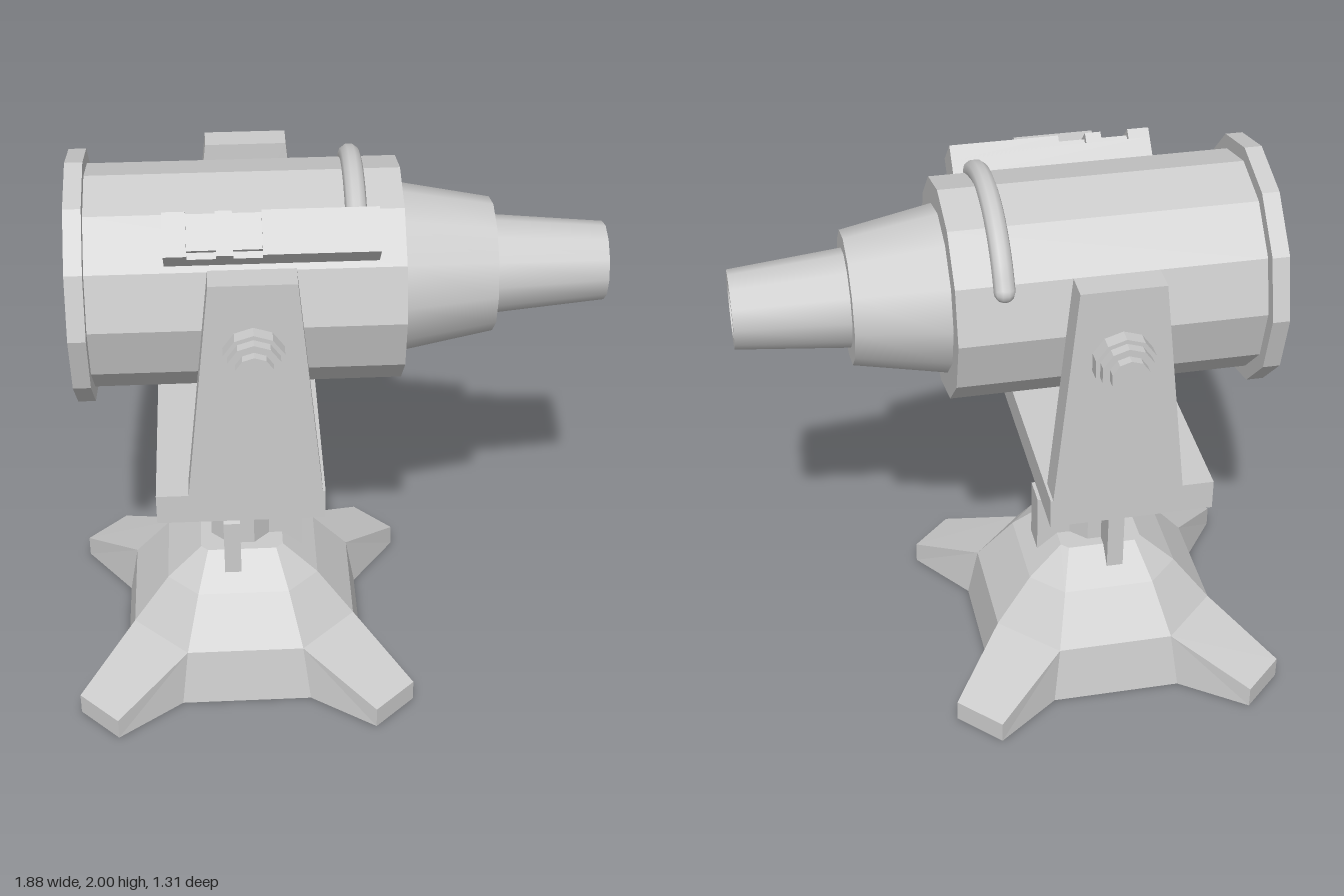
import * as THREE from 'three';

const AXIS_Y = 1.57;   // height of the barrel axis
const BASE_X = -0.335; // stand centre

const flat = new THREE.MeshStandardMaterial({ color: 0xcccccc, flatShading: true });
const smooth = new THREE.MeshStandardMaterial({ color: 0xcccccc });
const thin = new THREE.MeshStandardMaterial({ color: 0xcccccc, flatShading: true, side: THREE.DoubleSide });

function add(parent, name, geometry, material = flat) {
  const mesh = new THREE.Mesh(geometry, material);
  mesh.name = name;
  parent.add(mesh);
  return mesh;
}

function box(parent, name, x0, x1, y0, y1, z0, z1) {
  const mesh = add(parent, name, new THREE.BoxGeometry(x1 - x0, y1 - y0, z1 - z0));
  mesh.position.set((x0 + x1) / 2, (y0 + y1) / 2, (z0 + z1) / 2);
  return mesh;
}

// Round part lying along x on the barrel axis
function barrelPart(parent, name, x0, x1, r0, r1, material, open = false) {
  const g = new THREE.CylinderGeometry(r1, r0, x1 - x0, 12, 1, open);
  g.rotateZ(-Math.PI / 2).translate((x0 + x1) / 2, AXIS_Y, 0);
  return add(parent, name, g, material);
}

// Splayed stand: octagonal dome whose diagonal sides run out into four feet
function standGeometry() {
  const rings = [[0.48, 0.15, 0.125], [0.375, 0.275, 0.165], [0.21, 0.405, 0.21], [0, 0.44, 0.235]];
  const pos = [];
  const quad = (a, b, c, d) => [a, b, c, a, c, d].forEach(p => pos.push(...p));
  for (let q = 0; q < 4; q++) {
    const turn = ([x, y, z]) => {
      const a = q * Math.PI / 2, c = Math.cos(a), s = Math.sin(a);
      return [x * c + z * s, y, z * c - x * s];
    };
    const L = rings.map(([y, f, h]) => turn([-h, y, f])); // left corner of front panel
    const R = rings.map(([y, f, h]) => turn([h, y, f]));  // right corner of front panel
    const N = rings.map(([y, f, h]) => turn([f, y, h]));  // start of next panel
    for (let i = 0; i < 3; i++) {
      quad(L[i], L[i + 1], R[i + 1], R[i]);
      if (i < 2) quad(R[i], R[i + 1], N[i + 1], N[i]);
    }
    // Foot
    const [a, b, c, d] = [[0.465, 0.08, 0.605], [0.61, 0.08, 0.465], [0.465, 0, 0.605], [0.61, 0, 0.465]].map(turn);
    quad(R[2], a, b, N[2]);
    quad(a, c, d, b);
    quad(R[2], R[3], c, a);
    quad(N[2], b, d, N[3]);
  }
  // Flat top
  const top = rings[0];
  const ring = [];
  for (let q = 0; q < 4; q++) {
    const a = q * Math.PI / 2, c = Math.cos(a), s = Math.sin(a);
    for (const h of [-top[2], top[2]]) ring.push([h * c + top[1] * s, top[0], top[1] * c - h * s]);
  }
  ring.forEach((p, i) => pos.push(0, top[0], 0, ...p, ...ring[(i + 1) % 8]));
  const g = new THREE.BufferGeometry();
  g.setAttribute('position', new THREE.Float32BufferAttribute(pos, 3));
  g.computeVertexNormals();
  return g;
}

export function createModel() {
  const model = new THREE.Group();
  model.name = 'mountedCannon';

  // Stand, column and turntable
  const stand = new THREE.Group();
  stand.name = 'stand';
  stand.position.x = BASE_X;
  model.add(stand);
  add(stand, 'splayedBase', standGeometry(), thin);
  const column = add(stand, 'column', new THREE.CylinderGeometry(0.12, 0.12, 0.43, 8).rotateY(Math.PI / 8));
  column.position.y = 0.635;
  add(stand, 'turntable', new THREE.CylinderGeometry(0.22, 0.22, 0.08, 24), smooth).position.y = 0.87;

  // Column fins: a square one ahead, sloped ones on both sides
  box(stand, 'frontFin', 0.08, 0.225, 0.415, 0.645, -0.055, 0.055);
  const finShape = new THREE.Shape([[0.05, 0.42], [0.215, 0.42], [0.215, 0.645], [0.12, 0.83], [0.05, 0.83]]
    .map(p => new THREE.Vector2(...p)));
  for (const s of [1, -1]) {
    const g = new THREE.ExtrudeGeometry(finShape, { depth: 0.06, bevelEnabled: false });
    g.translate(0, 0, -0.03).rotateY(-s * Math.PI / 2).translate(-0.035, 0, 0);
    add(stand, 'sideFin', g);
  }

  // Yoke
  const yoke = new THREE.Group();
  yoke.name = 'yoke';
  model.add(yoke);
  box(yoke, 'yokePlate', -0.62, -0.05, 0.91, 1.02, -0.54, 0.54);
  const armShape = new THREE.Shape([[-0.51, 1.02], [-0.059, 1.02], [-0.135, 1.83], [-0.42, 1.83]]
    .map(p => new THREE.Vector2(...p)));
  for (const s of [1, -1]) {
    const g = new THREE.ExtrudeGeometry(armShape, { depth: 0.1, bevelEnabled: false });
    add(yoke, 'yokeArm', g.translate(0, 0, s > 0 ? 0.44 : -0.54));
    // Stepped pivot bolt
    for (const [z0, z1, r] of [[0.32, 0.59, 0.105], [0.59, 0.625, 0.09], [0.625, 0.657, 0.065]]) {
      const bolt = add(yoke, 'pivotBolt', new THREE.CylinderGeometry(r, r, z1 - z0, 10).rotateX(Math.PI / 2));
      bolt.position.set(-0.28, AXIS_Y, s * (z0 + z1) / 2);
    }
  }

  // Barrel
  const barrel = new THREE.Group();
  barrel.name = 'barrel';
  model.add(barrel);
  barrelPart(barrel, 'rearFlange', -0.88, -0.82, 0.43, 0.43, flat);
  barrelPart(barrel, 'body', -0.82, 0.23, 0.38, 0.38, flat);
  barrelPart(barrel, 'noseCone', 0.23, 0.55, 0.29, 0.23, smooth);
  barrelPart(barrel, 'muzzle', 0.55, 0.94, 0.17, 0.135, smooth, true);
  const bore = barrelPart(barrel, 'bore', 0.62, 0.94, 0.1, 0.1, smooth.clone(), true);
  bore.material.side = THREE.BackSide;
  const rim = new THREE.RingGeometry(0.1, 0.135, 12).rotateY(Math.PI / 2).translate(0.94, AXIS_Y, 0);
  add(barrel, 'muzzleRim', rim);
  add(barrel, 'boreFloor', new THREE.CircleGeometry(0.1, 12).rotateY(Math.PI / 2).translate(0.62, AXIS_Y, 0));

  // Sight rail on the upper front facet; local y points away from the barrel
  const rail = new THREE.Group();
  rail.name = 'sightRail';
  rail.position.y = AXIS_Y;
  rail.rotation.x = Math.PI / 4;
  model.add(rail);
  box(rail, 'railBase', -0.56, 0.14, 0.36, 0.44, -0.075, 0.075);
  for (const [x0, x1] of [[-0.56, -0.485], [-0.39, -0.335], [-0.24, 0.14]])
    box(rail, 'railBlock', x0, x1, 0.42, 0.475, -0.075, 0.075);
  box(rail, 'railCore', -0.5, -0.22, 0.42, 0.46, -0.052, 0.052);

  // Curved hose over the top of the body
  const hose = new THREE.Group();
  hose.name = 'hose';
  hose.position.set(0.07, AXIS_Y, 0);
  model.add(hose);
  const from = -0.62, to = 1.1; // angles from straight up, toward -z positive
  const points = [];
  for (let i = 0; i <= 8; i++) {
    const a = from + (to - from) * i / 8;
    points.push(new THREE.Vector3(0, 0.388 * Math.cos(a), -0.388 * Math.sin(a)));
  }
  add(hose, 'hoseTube', new THREE.TubeGeometry(new THREE.CatmullRomCurve3(points), 16, 0.036, 10), smooth);
  for (const p of [points[0], points[8]])
    add(hose, 'hoseEnd', new THREE.SphereGeometry(0.036, 10, 8), smooth).position.copy(p);

  return model;
}
